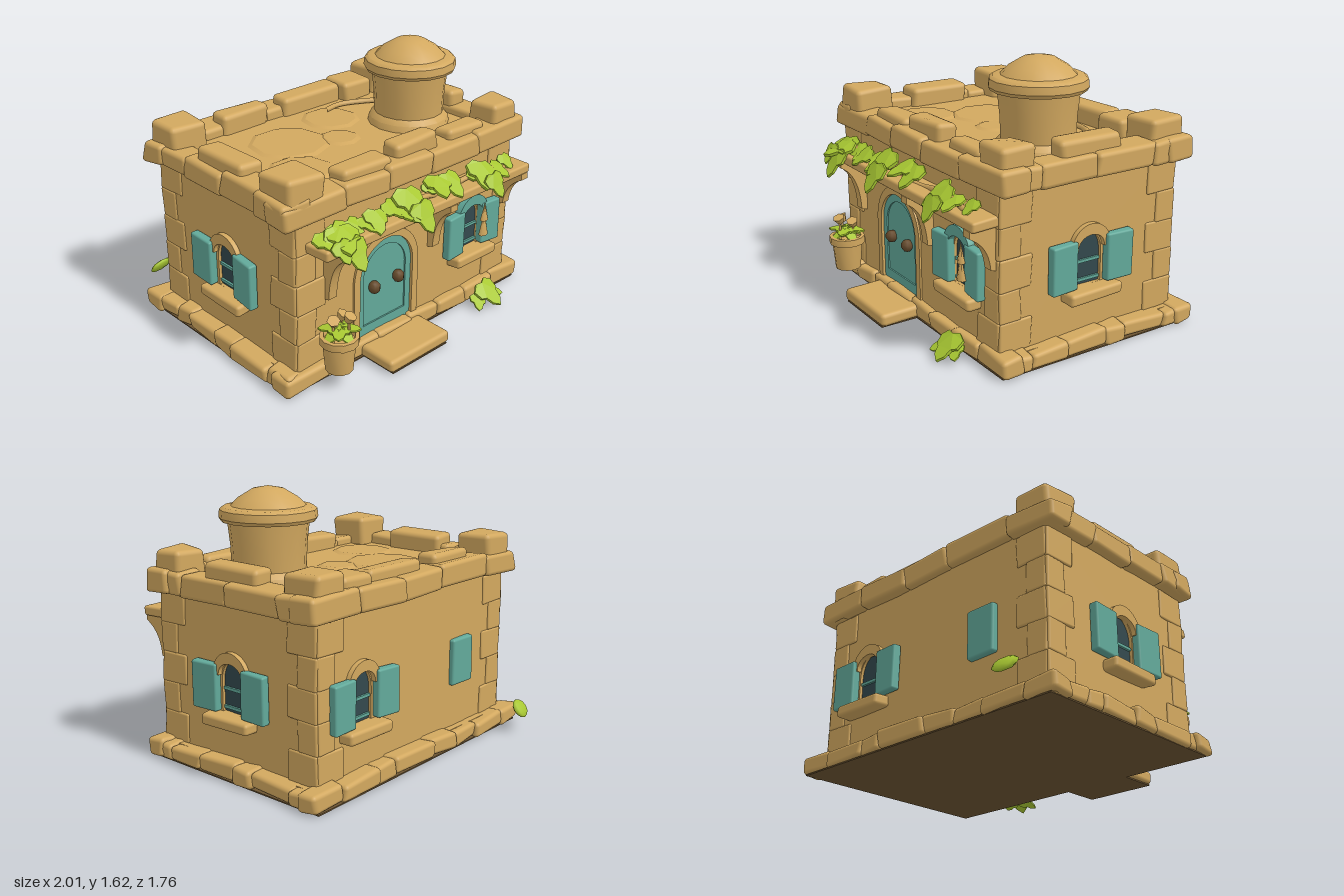
import * as THREE from 'three';
import { RoundedBoxGeometry } from 'three/addons/geometries/RoundedBoxGeometry.js';
import { toCreasedNormals } from 'three/addons/utils/BufferGeometryUtils.js';

const mat = (name, color, side = THREE.FrontSide) => {
  const m = new THREE.MeshStandardMaterial({ color, side });
  m.name = name;
  return m;
};

export function createModel() {
  const root = new THREE.Group();
  root.name = 'adobeHouse';
  const sand = mat('sandstone', 0xd2a85f);
  const teal = mat('tealPaint', 0x62a99a);
  const dark = mat('darkGlass', 0x33484d);
  const green = mat('leafGreen', 0xa8c832, THREE.DoubleSide);
  const brown = mat('darkBrown', 0x664a2b);
  const earth = mat('earthUnderside', 0x6e5633);

  let seed = 7;
  const rnd = () => (seed = (seed * 16807) % 2147483647) / 2147483647;

  function add(parent, name, geo, material, x = 0, y = 0, z = 0) {
    const mesh = new THREE.Mesh(geo, material);
    mesh.name = name;
    mesh.position.set(x, y, z);
    parent.add(mesh);
    return mesh;
  }

  // Softly worn block given by its bounds; corners wobble a little
  function stone(parent, name, x0, x1, y0, y1, z0, z1, r = 0.025, wob = 0.008, material = sand) {
    const w = x1 - x0, h = y1 - y0, d = z1 - z0;
    const geo = new RoundedBoxGeometry(w, h, d, 2, Math.min(r, w / 2.2, h / 2.2, d / 2.2));
    const p = geo.attributes.position, k = rnd() * 20;
    for (let i = 0; i < p.count; i++) {
      const x = p.getX(i), y = p.getY(i), z = p.getZ(i);
      p.setXYZ(i, x + wob * Math.sin(k + 25 * y + 18 * z),
        y + wob * Math.sin(2 * k + 14 * x + 17 * z), z + wob * Math.sin(3 * k + 16 * x + 21 * y));
    }
    return add(parent, name, geo, material, (x0 + x1) / 2, (y0 + y1) / 2, (z0 + z1) / 2);
  }

  // Ring of stones following a rectangle
  function course(name, y0, y1, hx, zb, zf, depth, nx, nz) {
    const g = new THREE.Group();
    g.name = name;
    root.add(g);
    const cuts = (a, b, n) => Array.from({ length: n + 1 }, (_, i) =>
      a + (b - a) * (i + (i > 0 && i < n ? (rnd() - 0.5) * 0.5 : 0)) / n);
    const j = () => rnd() * 0.02;
    const lap = 0.008;
    for (const front of [true, false]) {
      const c = cuts(-hx, hx, nx);
      for (let i = 0; i < nx; i++) {
        const e = j(), z0 = front ? zf - depth : zb + e, z1 = front ? zf - e : zb + depth;
        stone(g, name + 'Stone', c[i] - lap, c[i + 1] + lap, y0, y1 - j(), z0, z1, 0.025);
      }
    }
    for (const s of [-1, 1]) {
      const c = cuts(zb + 0.04, zf - 0.04, nz);
      for (let i = 0; i < nz; i++) {
        const a = s * (hx - j()), b = s * (hx - depth);
        stone(g, name + 'Stone', Math.min(a, b), Math.max(a, b), y0, y1 - j(), c[i] - lap, c[i + 1] + lap, 0.025);
      }
    }
  }

  // Arched outlines
  const arch = (C, cx, hw, y0, ys, top) => {
    const s = new C();
    s.moveTo(cx - hw, y0);
    s.lineTo(cx + hw, y0);
    s.lineTo(cx + hw, ys);
    s.absellipse(cx, ys, hw, top - ys, 0, Math.PI, false);
    s.lineTo(cx - hw, y0);
    return s;
  };
  const archBand = (cx, hw, top, iw, itop, y0, ys) => {
    const s = new THREE.Shape();
    s.moveTo(cx + hw, y0);
    s.lineTo(cx + hw, ys);
    s.absellipse(cx, ys, hw, top - ys, 0, Math.PI, false);
    s.lineTo(cx - hw, y0);
    s.lineTo(cx - iw, y0);
    s.lineTo(cx - iw, ys);
    s.absellipse(cx, ys, iw, itop - ys, Math.PI, 0, true);
    s.lineTo(cx + iw, y0);
    return s;
  };
  const slab = (shape, depth) =>
    toCreasedNormals(new THREE.ExtrudeGeometry(shape, { depth, bevelEnabled: false, curveSegments: 10 }), 0.6);

  // Window in wall coordinates: x along the wall, z outward
  function addWindow(wall, cx, half, shutterW, hoodMat, hoodDepth) {
    const g = new THREE.Group();
    g.name = 'window';
    g.position.x = cx;
    wall.add(g);
    add(g, 'windowPane', slab(arch(THREE.Shape, 0, 0.1, 0.36, 0.55, 0.69), 0.006), dark, 0, 0, -0.025);
    for (const y of [0.4, 0.51]) add(g, 'windowBar', new THREE.BoxGeometry(0.17, 0.018, 0.016), teal, 0, y, -0.014);
    add(g, 'windowHood', slab(archBand(0, 0.135, 0.735, 0.09, 0.67, 0.59, 0.6), hoodDepth + 0.01), hoodMat, 0, 0, -0.01);
    for (const s of [-1, 1]) {
      const hinge = new THREE.Group();
      hinge.name = 'shutter';
      hinge.position.set(s * half, 0, 0.01);
      hinge.rotation.y = -s * 0.05;
      g.add(hinge);
      const a = s > 0 ? 0 : -shutterW;
      stone(hinge, 'shutterBoard', a, a + shutterW, 0.375, 0.655, -0.015, 0.04, 0.012, 0.004, teal);
    }
    stone(g, 'windowSill', -0.18, 0.18, 0.3, 0.37, -0.06, 0.09, 0.02, 0.005);
  }

  // One wall with its openings cut through
  function makeWall(name, hw, x, z, rot, windows, door) {
    const g = new THREE.Group();
    g.name = name;
    g.position.set(x, 0, z);
    g.rotation.y = rot;
    root.add(g);
    const s = new THREE.Shape();
    s.moveTo(-hw, 0.03); s.lineTo(hw, 0.03); s.lineTo(hw, 1.04); s.lineTo(-hw, 1.04); s.closePath();
    for (const cx of windows) s.holes.push(arch(THREE.Path, cx, 0.09, 0.37, 0.55, 0.68));
    if (door) s.holes.push(arch(THREE.Path, -0.2, 0.215, 0.09, 0.48, 0.7));
    add(g, name + 'Face', slab(s, 0.08), sand, 0, 0, -0.08);
    // corner stones
    for (let i = 0; i < 5; i++) for (const e of [-1, 1]) {
      const w = i % 2 ? 0.13 : 0.2, a = e > 0 ? hw - w : -hw - 0.008;
      stone(g, 'cornerStone', a, a + w + 0.008, 0.095 + i * 0.18, 0.28 + i * 0.18, -0.05, 0.01, 0.012, 0.003);
    }
    return g;
  }

  // Walls
  add(root, 'wallCore', new THREE.BoxGeometry(1.6, 1.0, 1.05), sand, 0, 0.54, -0.005);
  const front = makeWall('frontWall', 0.87, 0, 0.6, 0, [0.52], true);
  const back = makeWall('backWall', 0.87, 0, -0.61, Math.PI, [-0.52]);
  const sideR = makeWall('leftWall', 0.6, 0.88, -0.005, Math.PI / 2, [-0.015]);
  const sideL = makeWall('rightWall', 0.6, -0.88, -0.005, -Math.PI / 2, [0.015]);
  addWindow(front, 0.52, 0.08, 0.155, teal, 0.04);
  addWindow(back, -0.52, 0.1, 0.175, sand, 0.03);
  addWindow(sideR, -0.015, 0.1, 0.18, sand, 0.03);
  addWindow(sideL, 0.015, 0.1, 0.18, sand, 0.03);
  stone(back, 'closedShutter', 0.33, 0.53, 0.37, 0.66, -0.02, 0.035, 0.015, 0.004, teal);
  for (const [y, r, h] of [[0.61, 0.03, 0.12], [0.53, 0.035, 0.16]]) {
    const cloth = add(front, 'hangingCloth', new THREE.ConeGeometry(r, h, 6), sand, 0.6, y, 0.06);
    cloth.scale.z = 0.7;
  }

  // Door
  add(front, 'doorLeaf', slab(arch(THREE.Shape, -0.2, 0.22, 0.08, 0.48, 0.71), 0.045), teal, 0, 0, -0.06);
  add(front, 'doorRim', slab(archBand(-0.2, 0.214, 0.698, 0.17, 0.65, 0.1, 0.48), 0.014), teal, 0, 0, -0.02);
  add(front, 'doorBottomRail', new THREE.BoxGeometry(0.36, 0.06, 0.014), teal, -0.2, 0.14, -0.013);
  add(front, 'doorSurround', slab(archBand(-0.2, 0.26, 0.75, 0.213, 0.7, 0.1, 0.48), 0.022), sand, 0, 0, -0.01);
  for (const x of [-0.295, -0.1]) add(front, 'doorKnob', new THREE.SphereGeometry(0.039, 7, 5), brown, x, 0.41, 0.005);

  // Foundation and doorstep
  add(root, 'foundation', new THREE.BoxGeometry(1.84, 0.09, 1.24), sand, 0, 0.055, -0.03);
  course('footing', 0.008, 0.12, 0.99, -0.715, 0.66, 0.15, 8, 6);
  stone(root, 'doorstep', -0.42, 0.07, 0.008, 0.085, 0.6, 0.88, 0.025, 0.004);
  add(root, 'underside', new THREE.BoxGeometry(1.93, 0.008, 1.33), earth, 0, 0.004, -0.03);
  add(root, 'doorstepUnderside', new THREE.BoxGeometry(0.45, 0.008, 0.24), earth, -0.175, 0.004, 0.75);

  // Roof and parapet
  add(root, 'roofDeck', new THREE.BoxGeometry(1.72, 0.12, 1.14), sand, 0, 1.02, -0.01);
  course('parapet', 1.0, 1.145, 0.96, -0.675, 0.65, 0.19, 5, 4);
  for (const [x, z, r] of [[-0.3, -0.12, 0.25], [-0.02, 0.02, 0.13], [-0.5, 0.22, 0.2], [0.15, -0.25, 0.19]])
    add(root, 'roofPaver', new THREE.CylinderGeometry(r - 0.03, r, 0.012, 9), sand, x, 1.085, z);
  const merlons = [
    [-0.92, -0.68, -0.64, -0.4, 1.25], [0.68, 0.91, -0.64, -0.4, 1.25],
    [-0.92, -0.67, 0.36, 0.61, 1.255], [0.7, 0.92, 0.4, 0.61, 1.25],
    [-0.9, -0.73, -0.22, 0.18, 1.2], [0.77, 0.9, -0.2, 0.21, 1.22],
    [-0.5, -0.14, 0.43, 0.58, 1.18], [-0.1, 0.24, 0.45, 0.58, 1.22], [0.34, 0.65, 0.45, 0.58, 1.18],
    [-0.51, -0.17, -0.6, -0.47, 1.2], [-0.04, 0.43, -0.6, -0.46, 1.2], [0.43, 0.66, -0.62, -0.4, 1.2],
  ];
  for (const [x0, x1, z0, z1, top] of merlons) stone(root, 'merlon', x0, x1, 1.05, top, z0, z1, 0.03, 0.006);
  const curl = new THREE.CatmullRomCurve3([[0.19, -0.34], [0.33, -0.36], [0.5, -0.29], [0.66, -0.18]]
    .map(([x, z]) => new THREE.Vector3(x, 1.1, z)));
  add(root, 'roofBranch', new THREE.TubeGeometry(curl, 12, 0.018, 6), sand);

  // Round turret with domed cap
  const profile = [[0.26, 1.05], [0.245, 1.12], [0.215, 1.15], [0.22, 1.28], [0.235, 1.42], [0.272, 1.42], [0.283, 1.44],
    [0.278, 1.485], [0.26, 1.5], [0.215, 1.505], [0.17, 1.55], [0.09, 1.598], [0, 1.615]];
  add(root, 'turret', toCreasedNormals(
    new THREE.LatheGeometry(profile.map(([r, y]) => new THREE.Vector2(r, y)), 16), 0.6), sand, 0.505, 0, 0.085);

  // Awning shelf on curved brackets
  stone(root, 'awningShelf', -0.81, 0.88, 0.825, 0.885, 0.56, 0.77, 0.015, 0.005);
  for (const [x, y] of [[-0.65, 0.48], [0.18, 0.5], [0.83, 0.57]]) {
    const s = new THREE.Shape();
    s.moveTo(0.57, 0.83);
    s.lineTo(0.57, y);
    s.lineTo(0.64, y + 0.02);
    s.quadraticCurveTo(0.65, 0.73, 0.77, 0.79);
    s.lineTo(0.77, 0.83);
    const b = add(root, 'awningBracket', slab(s, 0.06), sand, x + 0.03, 0, 0);
    b.rotation.y = -Math.PI / 2;
  }
  const stem = new THREE.CatmullRomCurve3(Array.from({ length: 9 }, (_, i) =>
    new THREE.Vector3(-0.78 + i * 0.19, 0.9 + 0.025 * Math.sin(i * 2.1), 0.68 + 0.02 * Math.cos(i * 1.7))));
  add(root, 'vineStem', new THREE.TubeGeometry(stem, 32, 0.018, 6), sand);

  // Lobed leaf with its stalk at the origin, tip towards -y, gently curled
  const half = [[0.25, 0.08], [0.5, -0.1], [0.46, -0.42], [0.3, -0.52], [0.22, -0.8]];
  const outline = [[0, 0], ...half, [0, -1], ...half.map(([x, y]) => [-x, y]).reverse()];
  const leafGeo = new THREE.ExtrudeGeometry(new THREE.Shape(outline.map(([x, y]) => new THREE.Vector2(x, y))),
    { depth: 0.09, bevelEnabled: false });
  const lp = leafGeo.attributes.position;
  for (let i = 0; i < lp.count; i++)
    lp.setZ(i, lp.getZ(i) - 0.35 * lp.getX(i) ** 2 - 0.08 * lp.getY(i) ** 2);
  leafGeo.computeVertexNormals();
  function leaf(name, x, y, z, size, tilt, roll = 0, yaw = 0) {
    const m = add(root, name, leafGeo, green, x, y, z);
    m.scale.setScalar(size);
    m.rotation.set(tilt, yaw, roll, 'YXZ');
  }
  const vine = [[-0.74, 0.93, 0.16], [-0.68, 0.95, 0.19], [-0.63, 0.94, 0.2], [-0.56, 0.94, 0.15], [-0.46, 0.93, 0.12],
    [-0.38, 0.95, 0.15], [-0.27, 0.95, 0.15], [-0.13, 0.99, 0.2], [-0.19, 0.94, 0.15], [0.04, 0.97, 0.09], [0.12, 0.99, 0.17],
    [0.19, 0.99, 0.17], [0.45, 0.93, 0.14], [0.51, 0.96, 0.19], [0.6, 0.93, 0.14], [0.74, 0.94, 0.11]];
  vine.forEach(([x, y, s], i) => leaf('vineLeaf', x, y, 0.65 + (i % 3) * 0.012, s, i % 2 ? -0.95 : -1.2, 0.4 * Math.sin(i * 2.3)));
  for (const [x, y, s] of [[-0.64, 0.9, 0.18], [-0.72, 0.92, 0.13], [-0.12, 0.94, 0.18], [0.51, 0.92, 0.15]])
    leaf('hangingLeaf', x, y, 0.765, s, -0.6, 0.1);

  // Fallen leaves
  leaf('fallenLeaf', 0.57, 0.12, 0.69, 0.18, -0.95, 0.2);
  leaf('fallenLeaf', 0.61, 0.07, 0.71, 0.11, -1.1, 0.9);
  leaf('fallenLeaf', 0.52, 0.06, 0.71, 0.11, -1.0, -0.6);
  const stray = add(root, 'strayLeaf', new THREE.SphereGeometry(1, 8, 6), green, -0.8, 0.15, -0.84);
  stray.scale.set(0.08, 0.062, 0.022);
  stray.rotation.set(0.65, 0.12, 0);

  // Flower pot
  const pot = [[0, 0.105], [0.08, 0.105], [0.095, 0.27], [0.112, 0.275], [0.112, 0.32], [0.09, 0.322], [0.085, 0.295], [0, 0.295]];
  add(root, 'flowerPot', toCreasedNormals(
    new THREE.LatheGeometry(pot.map(([r, y]) => new THREE.Vector2(r, y)), 12), 0.6), sand, -0.68, 0, 0.725);
  for (let i = 0; i < 8; i++) leaf('potLeaf', -0.68, 0.37, 0.725, 0.12, i % 2 ? -1.5 : -1.05, 0, i * 0.785);
  for (const [x, y, z] of [[-0.73, 0.42, 0.73], [-0.66, 0.44, 0.78], [-0.64, 0.41, 0.7]]) {
    add(root, 'flowerStalk', new THREE.CylinderGeometry(0.008, 0.008, y - 0.29, 5), sand, x, (y + 0.29) / 2, z);
    const f = add(root, 'flowerHead', new THREE.CylinderGeometry(0.038, 0.018, 0.045, 6), sand, x, y, z);
    f.rotation.set(0.4, 0, (x + 0.69) * -6);
  }
  return root;
}
